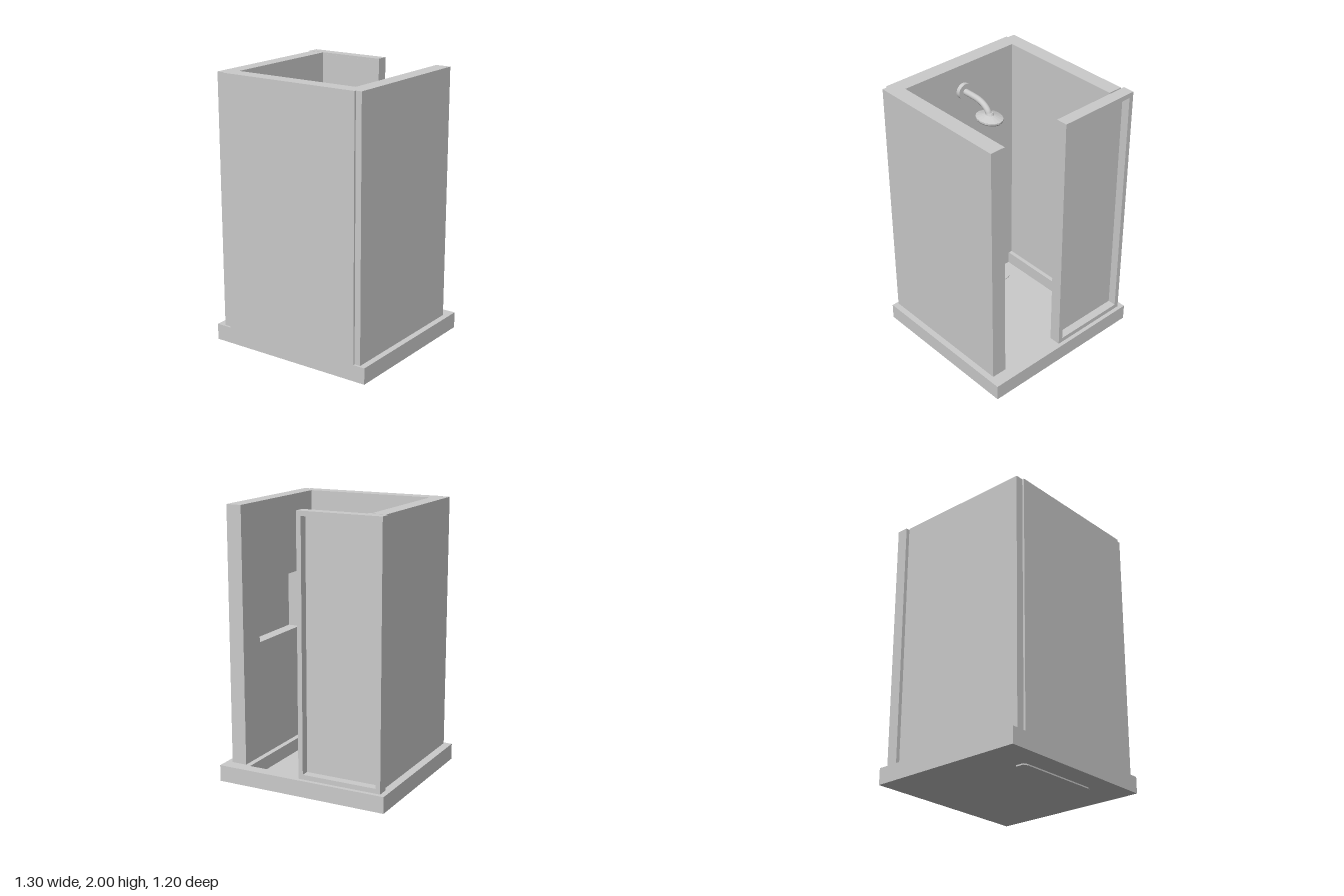
import * as THREE from 'three';

const material = new THREE.MeshStandardMaterial({ color: 0xcccccc });
const flat = new THREE.MeshStandardMaterial({ color: 0xcccccc, flatShading: true });

export function createModel() {
  const model = new THREE.Group();

  const add = (parent, name, geometry, mat = material) => {
    const mesh = new THREE.Mesh(geometry, mat);
    mesh.name = name;
    parent.add(mesh);
    return mesh;
  };
  const group = (name) => {
    const g = new THREE.Group();
    g.name = name;
    model.add(g);
    return g;
  };
  // box given by its extents on each axis
  const box = (parent, name, [x0, x1], [y0, y1], [z0, z1]) =>
    add(parent, name, new THREE.BoxGeometry(x1 - x0, y1 - y0, z1 - z0)
      .translate((x0 + x1) / 2, (y0 + y1) / 2, (z0 + z1) / 2));
  const polygon = (points) => new THREE.Shape(points.map((p) => new THREE.Vector2(...p)));
  const rect = (u0, u1, v0, v1) => polygon([[u0, v0], [u1, v0], [u1, v1], [u0, v1]]);
  const frameShape = (outer, inner) => {
    const shape = rect(...outer);
    shape.holes.push(rect(...inner));
    return shape;
  };
  const extrude = (shape, depth) =>
    new THREE.ExtrudeGeometry(shape, { depth, bevelEnabled: false });
  // plan outline (x, z) extruded from y0 up to y1
  const slab = (shape, y0, y1) => extrude(shape, y1 - y0).rotateX(Math.PI / 2).translate(0, y1, 0);
  // disc standing against the front wall, facing the cabin
  const disc = (parent, name, r, x, y, z0, z1, sides = 32) =>
    add(parent, name, new THREE.CylinderGeometry(r, r, z1 - z0, sides)
      .rotateX(Math.PI / 2).translate(x, y, (z0 + z1) / 2));

  // Tray with a raised rim and sunken floor
  const tray = group('tray');
  add(tray, 'trayRim', slab(frameShape([-0.65, 0.65, -0.6, 0.6], [-0.45, 0.45, -0.515, 0.49]), 0.01, 0.13));
  box(tray, 'trayFloor', [-0.45, 0.45], [0.01, 0.03], [-0.515, 0.49]);

  // Long drain with clipped corners
  add(model, 'drain', slab(polygon([
    [-0.34, 0.355], [-0.31, 0.34], [0.325, 0.34], [0.355, 0.355],
    [0.355, 0.415], [0.325, 0.43], [-0.31, 0.43], [-0.34, 0.415],
  ]), 0, 0.036));

  // Walls: the front wall stands slightly proud of the side walls
  const walls = group('walls');
  add(walls, 'frontWall', slab(polygon([
    [-0.48, 0.485], [0.49, 0.485], [0.49, 0.585], [0.56, 0.585],
    [0.56, 0.6], [-0.53, 0.6], [-0.53, 0.585], [-0.48, 0.585],
  ]), 0.13, 2));
  box(walls, 'rightWall', [-0.59, -0.48], [0.13, 2], [-0.475, 0.585]);

  // Left wall with a storage niche on the inside
  const nicheWall = frameShape([-0.505, 0.585, 0.13, 2], [-0.29, 0.28, 0.99, 1.42]);
  add(walls, 'leftWall', extrude(nicheWall, 0.09).rotateY(-Math.PI / 2).translate(0.58, 0, 0));
  box(walls, 'leftWallOuterPanel', [0.58, 0.605], [0.13, 2], [-0.505, 0.585]);

  // Sliding door: frame with a pane set flush on the inside
  const door = group('door');
  add(door, 'doorFrame', extrude(frameShape([-0.61, 0.02, 0.13, 2], [-0.575, -0.015, 0.165, 1.965]), 0.085)
    .translate(0, 0, -0.57));
  box(door, 'doorPane', [-0.61, 0.02], [0.13, 1.985], [-0.508, -0.484]);

  // Shower arm and head
  const shower = group('shower');
  const sx = -0.012;
  disc(shower, 'armFlange', 0.06, sx, 1.8, 0.455, 0.485);
  const path = new THREE.CatmullRomCurve3([
    [0.46, 1.8], [0.38, 1.8], [0.31, 1.795], [0.255, 1.775], [0.22, 1.745], [0.21, 1.715],
  ].map(([z, y]) => new THREE.Vector3(sx, y, z)));
  add(shower, 'arm', new THREE.TubeGeometry(path, 24, 0.023, 16, false));
  const headProfile = [[0, -0.022], [0.08, -0.022], [0.087, -0.01], [0.087, 0.002], [0.05, 0.016], [0.028, 0.024], [0.022, 0.04], [0, 0.04]];
  const head = add(shower, 'showerHead', new THREE.LatheGeometry(
    headProfile.map((p) => new THREE.Vector2(...p)), 16), flat);
  head.scale.z = 1.27;
  head.position.set(-0.015, 1.7, 0.21);

  // Mixer valve below the arm
  const valve = group('valve');
  disc(valve, 'valvePlate', 0.1, -0.055, 1.1, 0.465, 0.485);
  disc(valve, 'valveNeck', 0.035, -0.055, 1.1, 0.45, 0.465);
  disc(valve, 'valveKnob', 0.02, -0.055, 1.1, 0.42, 0.45);
  box(valve, 'valveLever', [-0.063, -0.047], [1.03, 1.1], [0.422, 0.436]);

  return model;
}
